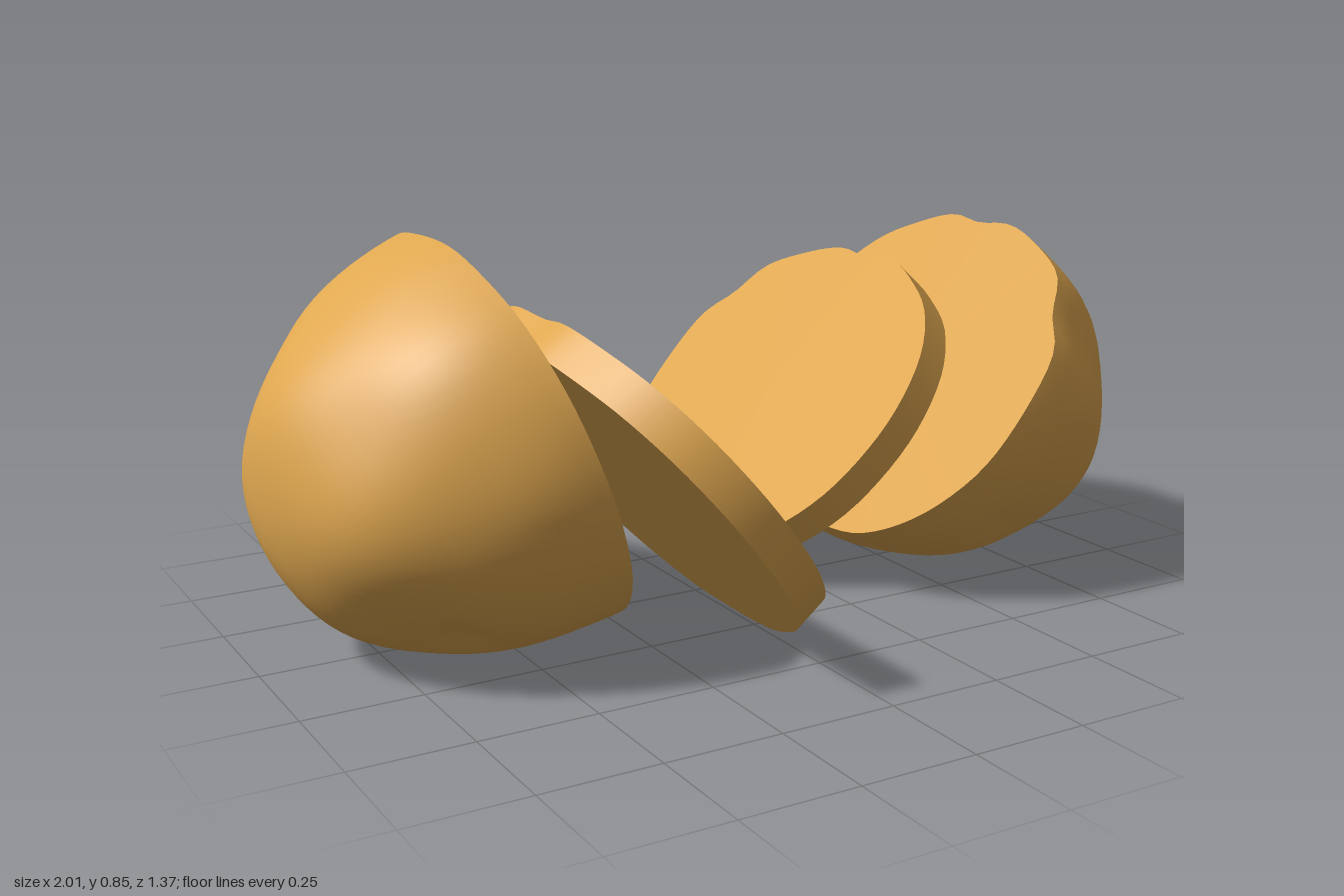
import * as THREE from 'three';

const SEGMENTS = 80;

// Cut outline shared by every piece: an oval with one dented shoulder
const OUTLINE = [
  [0.01, -0.468], [0.14, -0.45], [0.22, -0.385], [0.31, -0.335], [0.37, -0.23], [0.414, -0.09],
  [0.405, 0.02], [0.414, 0.12], [0.37, 0.24], [0.31, 0.34], [0.21, 0.42], [0.08, 0.46],
  [-0.04, 0.46], [-0.18, 0.42], [-0.30, 0.33], [-0.37, 0.22], [-0.414, 0.1], [-0.418, -0.08],
  [-0.40, -0.20], [-0.34, -0.31], [-0.26, -0.39], [-0.15, -0.45],
];

// Sample the outline with mirroring and scale, always counter-clockwise
function outline(su, sv) {
  const pts = OUTLINE.map(([u, v]) => new THREE.Vector3(u * su, v * sv, 0));
  if (su * sv < 0) pts.reverse();
  return new THREE.CatmullRomCurve3(pts, true).getSpacedPoints(SEGMENTS).slice(0, SEGMENTS);
}

function buildGeometry(points, index) {
  const g = new THREE.BufferGeometry().setFromPoints(points);
  g.setIndex(index);
  g.computeVertexNormals();
  return g;
}

// Smooth skin through a list of rings
function skin(rings) {
  const n = SEGMENTS, index = [];
  for (let r = 0; r < rings.length - 1; r++) {
    for (let i = 0; i < n; i++) {
      const j = (i + 1) % n, a = r * n, b = a + n;
      index.push(a + i, a + j, b + j, a + i, b + j, b + i);
    }
  }
  return buildGeometry(rings.flat(), index);
}

// Flat cut face filling one ring
function cap(ring, forward) {
  const index = [], n = ring.length;
  for (let i = 0; i < n; i++) {
    const j = (i + 1) % n;
    index.push(n, forward ? i : j, forward ? j : i);
  }
  return buildGeometry([...ring, new THREE.Vector3(0, 0, ring[0].z)], index);
}

// Domed half: the outline fades into a lumpy ellipsoid
function halfRings(edge, depth, ru, rv, dimples) {
  const rings = [], steps = 28;
  for (let s = 0; s <= steps; s++) {
    const t = (s / steps) * Math.PI / 2;
    const c = s === steps ? 0 : Math.cos(t), w = depth * Math.sin(t);
    const fade = Math.min(1, w / (depth * 0.6));
    rings.push(edge.map((p) => {
      const a = Math.atan2(p.y / rv, p.x / ru);
      const q = p.clone().lerp(new THREE.Vector3(Math.cos(a) * ru, Math.sin(a) * rv, 0), fade);
      q.set(q.x * c, q.y * c, w);
      const lump = Math.sin(q.x * 13 + 1) * Math.sin(q.y * 12 + 2) * Math.sin(q.z * 11);
      let k = 1 + 0.02 * lump;
      for (const [u, v, z, size, amount] of dimples) {
        const d2 = (q.x - u) ** 2 + (q.y - v) ** 2 + (q.z - z) ** 2;
        k -= amount * Math.exp(-d2 / (size * size));
      }
      return s === 0 ? q : q.multiplyScalar(k);
    }));
  }
  return rings;
}

function sliceRings(edge, thickness) {
  return [0, thickness].map((w) => edge.map((p) => new THREE.Vector3(p.x, p.y, w)));
}

export function createModel() {
  const model = new THREE.Group();
  const potato = new THREE.MeshStandardMaterial({ color: 0xdfa750 });
  potato.name = 'potatoTan';

  // Orient a piece: cut face centre, direction up the face, side of the body
  function addPiece(name, rings, closed, centre, up, side) {
    const piece = new THREE.Group();
    piece.name = name;
    const add = (part, geometry) => {
      const mesh = new THREE.Mesh(geometry, potato);
      mesh.name = part;
      piece.add(mesh);
    };
    add('skin', skin(rings));
    add('cutFace', cap(rings[0], false));
    if (closed) add('backFace', cap(rings[rings.length - 1], true));
    const u = new THREE.Vector3(up[0], up[1], 0).normalize();
    const v = new THREE.Vector3(0, 0, side);
    const w = new THREE.Vector3().crossVectors(u, v);
    piece.quaternion.setFromRotationMatrix(new THREE.Matrix4().makeBasis(u, v, w));
    piece.position.set(...centre);
    model.add(piece);
  }

  // Two halves
  addPiece('rightHalf',
    halfRings(outline(-1.02, -1), 0.543, 0.43, 0.465, [[-0.265, -0.27, 0.324, 0.06, 0.05]]),
    false, [-0.465, 0.44, 0.015], [-0.29, 0.8], -1);
  addPiece('leftHalf',
    halfRings(outline(0.98, -0.98), 0.514, 0.41, 0.455, [[-0.2, 0.33, 0.22, 0.07, 0.04]]),
    false, [0.5275, 0.457, 0.025], [0.495, 0.655], 1);

  // Two slices
  addPiece('rightSlice', sliceRings(outline(1.01, -1), 0.08), true,
    [-0.2125, 0.3875, 0.215], [-0.535, 0.655], -1);
  addPiece('leftSlice', sliceRings(outline(1, 1), 0.08), true,
    [0.325, 0.3725, -0.222], [0.55, 0.625], 1);

  return model;
}
